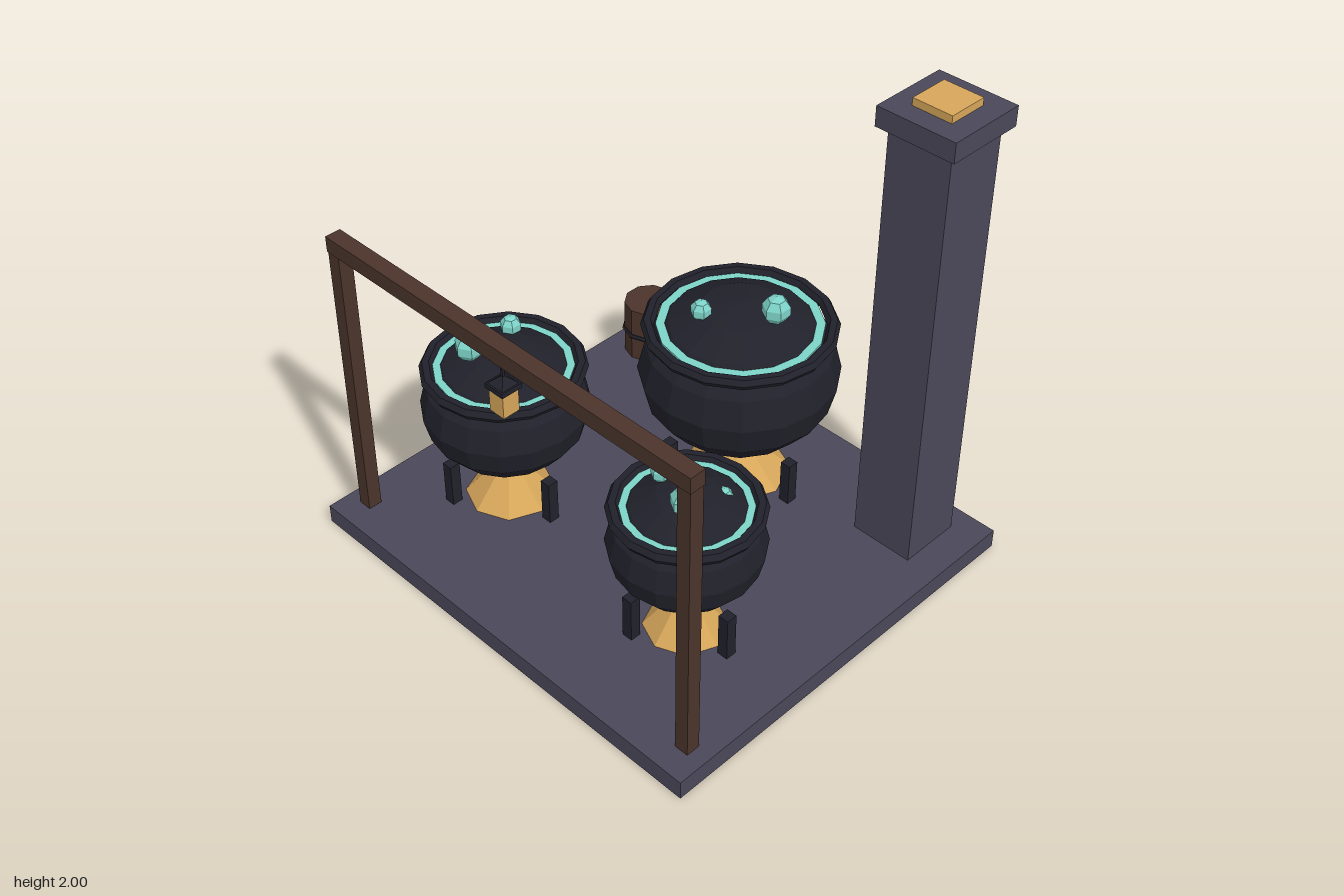
import * as THREE from 'three';

const mat = (name, color) => {
  const m = new THREE.MeshStandardMaterial({ color, flatShading: true });
  m.name = name;
  return m;
};

export function createModel() {
  const model = new THREE.Group();
  const stone = mat('stone', 0x4a4859);
  const wood = mat('wood', 0x4b342b);
  const iron = mat('iron', 0x21212b);
  const glow = mat('amber', 0xd6a65a);
  const potion = mat('potion', 0x7dd3c8);

  const add = (parent, name, geometry, material, x, y, z) => {
    const mesh = new THREE.Mesh(geometry, material);
    mesh.name = name;
    mesh.position.set(x, y, z);
    parent.add(mesh);
    return mesh;
  };
  const box = (name, material, w, h, d, x, y, z, parent = model) =>
    add(parent, name, new THREE.BoxGeometry(w, h, d), material, x, y, z);
  const group = (name) => {
    const g = new THREE.Group();
    g.name = name;
    model.add(g);
    return g;
  };

  const floorY = 0.08;
  box('floor', stone, 1.93, 0.08, 1.73, 0, 0.04, 0);

  // Chimney with cap and glowing vent
  const chimney = group('chimney');
  box('chimneyShaft', stone, 0.265, 1.81, 0.265, 0.7, 0.985, -0.635, chimney);
  box('chimneyCap', stone, 0.33, 0.08, 0.33, 0.7, 1.93, -0.635, chimney);
  box('chimneyVent', glow, 0.165, 0.03, 0.165, 0.7, 1.985, -0.635, chimney);

  // Timber frame
  const frame = group('frame');
  for (const s of [-1, 1]) box('post', wood, 0.058, 1.21, 0.058, s * 0.869, 0.685, 0.735, frame);
  box('beam', wood, 1.8, 0.065, 0.065, 0, 1.318, 0.735, frame);

  // Hanging lantern
  const lantern = group('lantern');
  box('lanternRod', iron, 0.01, 0.09, 0.01, 0, 1.245, 0.735, lantern);
  box('lanternBrim', iron, 0.088, 0.02, 0.088, 0, 1.175, 0.735, lantern);
  add(lantern, 'lanternRoof', new THREE.ConeGeometry(0.054, 0.035, 4), iron, 0, 1.202, 0.735)
    .rotation.y = Math.PI / 4;
  box('lanternBody', glow, 0.07, 0.098, 0.07, 0, 1.117, 0.735, lantern);

  // Cauldrons: squashed sphere, rim, ring of potion, fire, three legs, bubbles
  const cauldron = (x, z, r, bubbles) => {
    const g = group('cauldron');
    const cy = 0.273 + 0.8 * r;
    const rimY = cy + 0.525 * r;

    const body = add(g, 'pot', new THREE.SphereGeometry(r, 16, 8), iron, x, cy, z);
    body.scale.y = 0.8;
    add(g, 'rim', new THREE.TorusGeometry(0.9 * r, 0.026, 6, 16), iron, x, rimY, z)
      .rotation.x = Math.PI / 2;
    add(g, 'potionSurface', new THREE.CylinderGeometry(0.82 * r, 0.82 * r, 0.009, 16),
      potion, x, rimY, z);

    add(g, 'fire', new THREE.ConeGeometry(0.55 * r, 0.2, 8), glow, x, floorY + 0.1, z);
    for (let i = 0; i < 3; i++) {
      const a = (i * Math.PI * 2) / 3;
      box('leg', iron, 0.045, 0.19, 0.045,
        x + Math.cos(a) * 0.7 * r, floorY + 0.095, z + Math.sin(a) * 0.7 * r, g);
    }
    for (const [bx, by, bz, br] of bubbles) {
      add(g, 'bubble', new THREE.SphereGeometry(br, 6, 5), potion, bx, by, bz)
        .rotation.y = Math.PI / 6;
    }
  };
  cauldron(0, -0.437, 0.395, [[0.155, 0.937, -0.46, 0.058], [-0.078, 0.895, -0.3, 0.043]]);
  cauldron(-0.533, 0.295, 0.328, [[-0.577, 0.845, 0.418, 0.058], [-0.612, 0.797, 0.185, 0.043]]);
  cauldron(0.464, 0.327, 0.293,
    [[0.541, 0.8, 0.418, 0.056], [0.342, 0.752, 0.332, 0.041], [0.535, 0.685, 0.216, 0.035]]);

  // Barrels with iron hoops
  for (const x of [-0.797, -0.635]) {
    const barrel = group('barrel');
    add(barrel, 'barrelBody', new THREE.CylinderGeometry(0.109, 0.109, 0.25, 10),
      wood, x, floorY + 0.125, -0.74);
    const hoop = add(barrel, 'barrelHoop', new THREE.TorusGeometry(0.107, 0.012, 6, 10),
      iron, x, 0.195, -0.74);
    hoop.rotation.set(Math.PI / 2, 0, Math.PI / 2);
  }
  return model;
}
